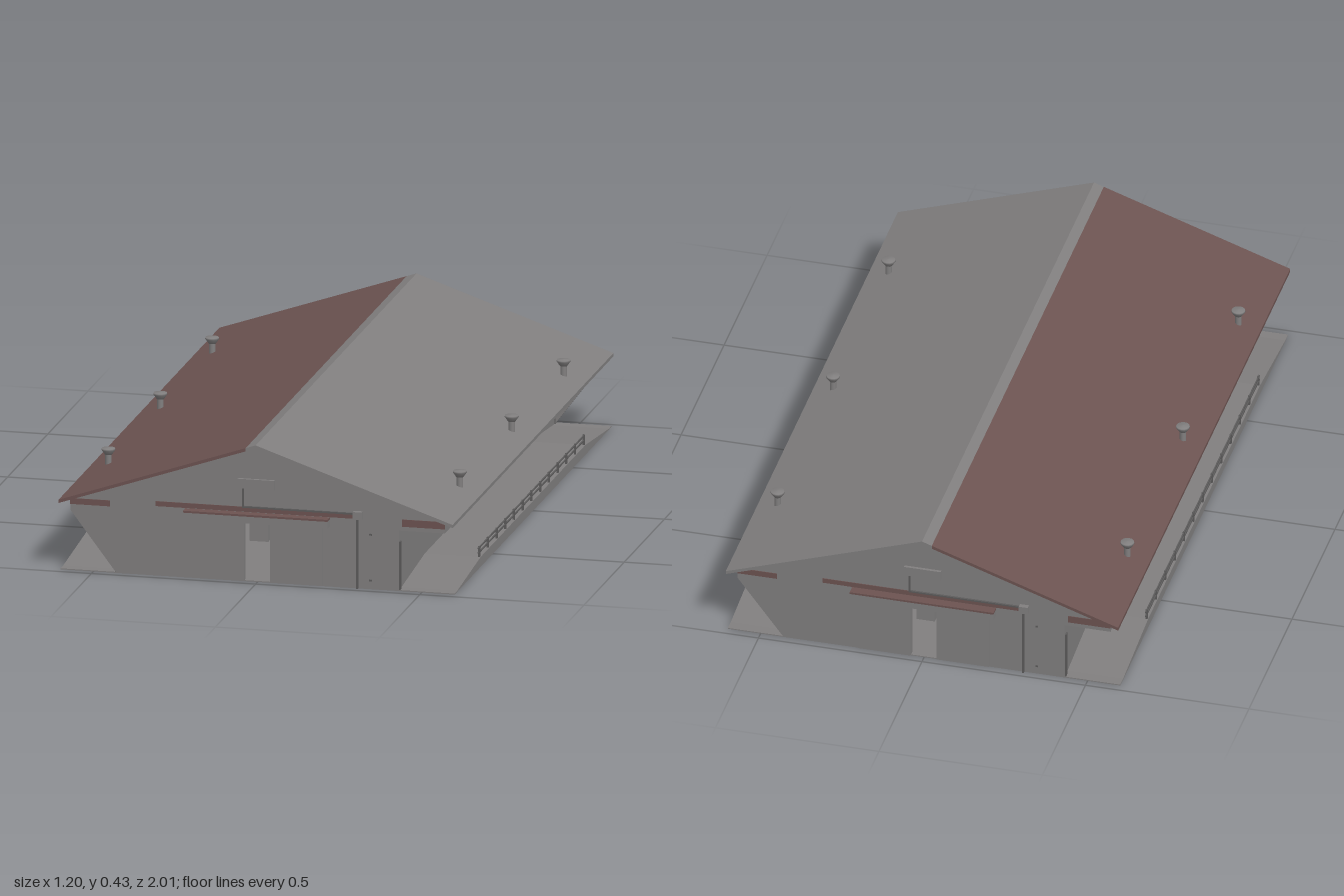
import * as THREE from 'three';

const mat = (name, hex) => Object.assign(new THREE.MeshStandardMaterial({ color: hex }), { name });

export function createModel() {
  const grey = mat('grey sheet', 0x807e7e);
  const red = mat('rusty red', 0x6c5351);
  const dark = mat('dark metal', 0x5c5b5b);
  const model = new THREE.Group();
  model.name = 'barn';

  const add = (parent, name, geo, material) => {
    const mesh = new THREE.Mesh(geo, material);
    mesh.name = name;
    parent.add(mesh);
    return mesh;
  };
  // box given by its min and max corners
  const box = (parent, name, material, x0, x1, y0, y1, z0, z1) =>
    add(parent, name, new THREE.BoxGeometry(x1 - x0, y1 - y0, z1 - z0)
      .translate((x0 + x1) / 2, (y0 + y1) / 2, (z0 + z1) / 2), material);
  // outline in x,y extruded along z, centred on z = 0
  const prism = (points, depth) =>
    new THREE.ExtrudeGeometry(new THREE.Shape(points.map(p => new THREE.Vector2(...p))),
      { depth, bevelEnabled: false }).translate(0, 0, -depth / 2);
  const roofY = x => 0.425 - Math.abs(x) * 0.342;
  const T = 0.01;

  // Floor
  box(model, 'floor', grey, -0.6, 0.6, 0, 0.003, -0.975, 0.975);

  // Roof: the grey sheet laps over the ridge onto the red side
  add(model, 'redRoof', prism([[-0.6, roofY(0.6) - T], [-0.03, roofY(0.03) - T],
    [-0.03, roofY(0.03)], [-0.6, roofY(0.6)]], 2), red);
  add(model, 'greyRoof', prism([[-0.03, roofY(0.03) - T], [0, roofY(0) - T], [0.6, roofY(0.6) - T],
    [0.6, roofY(0.6)], [0, roofY(0)], [-0.03, roofY(0.03)]], 2), grey);

  // Long sides: wall, eave, doors, loading bank, railing and vents
  for (const s of [1, -1]) {
    const side = new THREE.Group();
    side.name = s > 0 ? 'leftSide' : 'rightSide';
    if (s < 0) side.rotation.y = Math.PI;
    model.add(side);

    box(side, 'sideWall', grey, 0.415, 0.43, 0, 0.19, -0.96, 0.96);
    box(side, 'soffit', red, 0.43, 0.562, 0.19, 0.195, -0.96, 0.96);
    box(side, 'eaveBoard', grey, 0.562, 0.57, 0.187, 0.222, -0.96, 0.96);

    for (const z of [-0.33, 0.33]) {
      box(side, 'sideDoor', grey, 0.43, 0.434, 0.03, 0.125, z - 0.07, z + 0.07);
      box(side, 'doorLintel', red, 0.43, 0.436, 0.125, 0.14, z - 0.07, z + 0.07);
    }

    // Bank with a ramp at each end
    const bank = prism([[-0.975, 0], [0.975, 0], [0.65, 0.03], [-0.65, 0.03]], 0.17);
    add(side, 'loadingBank', bank.rotateY(-Math.PI / 2).translate(0.515, 0, 0), grey);

    for (let i = 0; i <= 12; i++) {
      const z = -0.65 + i * 1.3 / 12;
      box(side, 'railPost', dark, 0.592, 0.598, 0.03, 0.062, z - 0.003, z + 0.003);
    }
    for (const y of [0.042, 0.056])
      box(side, 'rail', dark, 0.593, 0.597, y, y + 0.004, -0.66, 0.66);

    // Roof vents
    for (const z of [-0.645, 0, 0.645]) {
      const vent = new THREE.Group();
      vent.name = 'roofVent';
      vent.position.set(0.535, 0, z);
      side.add(vent);
      add(vent, 'ventPipe', new THREE.CylinderGeometry(0.01, 0.01, 0.045, 12).translate(0, 0.2525, 0), grey);
      add(vent, 'ventCap', new THREE.LatheGeometry([[0, 0.27], [0.011, 0.27], [0.021, 0.284],
        [0.02, 0.289], [0, 0.291]].map(p => new THREE.Vector2(...p)), 14), grey);
    }
  }

  // Gable ends, the rear one turned half round
  for (const s of [1, -1]) {
    const end = new THREE.Group();
    end.name = s > 0 ? 'frontEnd' : 'backEnd';
    if (s < 0) end.rotation.y = Math.PI;
    model.add(end);

    const lip = roofY(0.57) - T;
    add(end, 'gableWall', prism([[-0.43, 0], [-0.04, 0], [-0.04, 0.185], [0.04, 0.185], [0.04, 0],
      [0.43, 0], [0.43, 0.185], [0.57, 0.185], [0.57, lip], [0, roofY(0) - T], [-0.57, lip], [-0.57, 0.185]],
    0.016).translate(0, 0, 0.967), grey);

    // Sliding doors and the hood above them
    for (const d of [-1, 1])
      box(end, 'slidingDoor', grey, d * 0.12 - 0.08, d * 0.12 + 0.08, 0.004, 0.185, 0.975, 0.983);
    box(end, 'doorHood', grey, -0.22, 0.22, 0.185, 0.206, 0.975, 1.003);
    box(end, 'hoodTop', red, -0.22, 0.22, 0.206, 0.212, 0.975, 1.005);
    box(end, 'hangingBox', grey, -0.028, 0.028, 0.12, 0.187, 0.93, 0.958);

    // Rusty patches along the tie beam
    for (const [x0, x1, y0, y1] of [[-0.57, -0.45, 0.203, 0.221], [-0.31, 0.29, 0.213, 0.228],
      [0.44, 0.57, 0.198, 0.22]])
      box(end, 'rustyBand', red, x0, x1, y0, y1, 0.974, 0.977);

    // Plain board, supply pipe and switch box
    box(end, 'board', grey, -0.06, 0.053, 0.286, 0.315, 0.975, 0.984);
    box(end, 'boardPipe', dark, -0.046, -0.041, 0.228, 0.286, 0.975, 0.981);
    box(end, 'crossPipe', dark, -0.046, 0.3, 0.226, 0.231, 0.975, 0.981);
    box(end, 'downPipe', dark, 0.302, 0.307, 0, 0.215, 0.975, 0.983);
    box(end, 'switchBox', grey, 0.293, 0.321, 0.214, 0.237, 0.975, 0.99);
    for (const y of [0.025, 0.165])
      box(end, 'pipeClip', dark, 0.341, 0.349, y, y + 0.005, 0.975, 0.979);
    for (const x of [-0.43, 0.43])
      box(end, 'cornerPost', dark, x - 0.004, x + 0.004, 0, 0.15, 0.958, 0.974);
  }
  return model;
}
